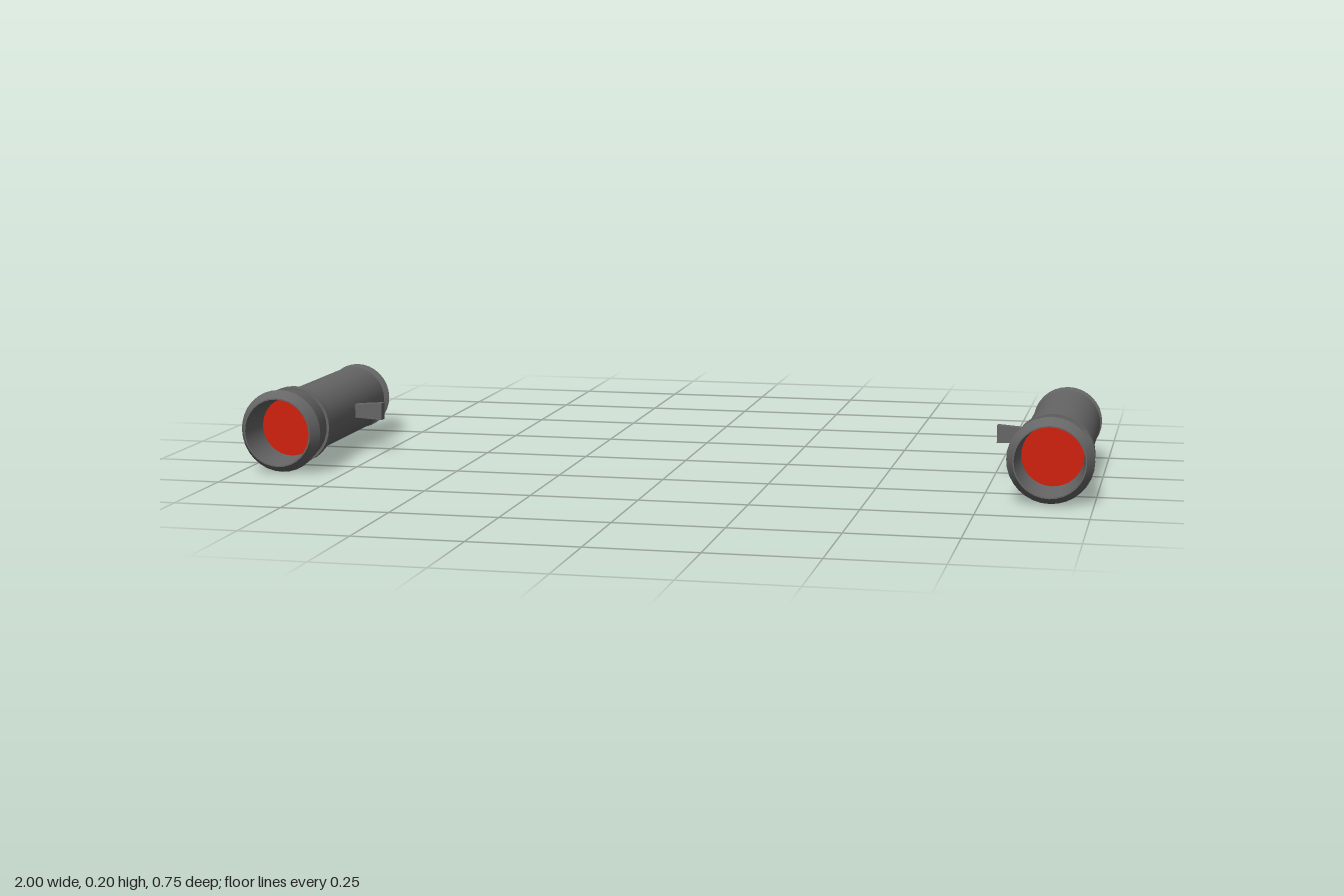
import * as THREE from 'three';
import { toCreasedNormals } from 'three/addons/utils/BufferGeometryUtils.js';

const SEGMENTS = 32;

// Revolves [radius, z] pairs around the z axis, keeping hard edges sharp.
function turned(name, profile, material) {
  const points = profile.map(([r, z]) => new THREE.Vector2(r, z));
  const geometry = new THREE.LatheGeometry(points, SEGMENTS).rotateX(Math.PI / 2);
  const mesh = new THREE.Mesh(toCreasedNormals(geometry, 0.35), material);
  mesh.name = name;
  return mesh;
}

// Small flared plate on the inner side; side is the direction it points in x.
function mountingBracket(side, material) {
  const shape = new THREE.Shape([
    [0.07, -0.013], [0.147, -0.018], [0.147, 0.024], [0.07, 0.018],
  ].map(([x, y]) => new THREE.Vector2(x * side, y)));
  const geometry = new THREE.ExtrudeGeometry(shape, { depth: 0.023, bevelEnabled: false });
  const mesh = new THREE.Mesh(geometry, material);
  mesh.name = 'mountingBracket';
  mesh.position.z = 0.028;
  return mesh;
}

export function createModel() {
  const grey = new THREE.MeshStandardMaterial({ color: 0x666666 });
  grey.name = 'gunmetal grey';
  const red = new THREE.MeshStandardMaterial({ color: 0xd0210e });
  red.name = 'signal red';

  const model = new THREE.Group();
  model.name = 'podPair';

  for (const side of [-1, 1]) {
    const pod = new THREE.Group();
    pod.name = side > 0 ? 'leftPod' : 'rightPod';
    pod.position.set(side * 0.902, 0.1, 0);

    // Pointed tail with a bevelled shoulder down to the neck
    pod.add(turned('tailCone', [[0, -0.373], [0.082, -0.198], [0.063, -0.188]], grey));
    // Narrow neck and main tube
    pod.add(turned('tube', [
      [0.063, -0.188], [0.063, -0.176], [0.0795, -0.165], [0.08, 0.255],
    ], grey));
    // Raised collar
    pod.add(turned('collar', [
      [0.078, 0.253], [0.093, 0.253], [0.093, 0.275], [0.085, 0.275],
    ], grey));
    // Flared hood, folding over the lip into its hollow inside
    pod.add(turned('hood', [
      [0.087, 0.275], [0.098, 0.348], [0.082, 0.375], [0.079, 0.375], [0.07, 0.282],
    ], grey));

    // Recessed red disc
    const lens = new THREE.Mesh(new THREE.CircleGeometry(0.071, SEGMENTS), red);
    lens.name = 'lens';
    lens.position.z = 0.284;
    pod.add(lens);

    pod.add(mountingBracket(-side, grey));
    model.add(pod);
  }
  return model;
}
